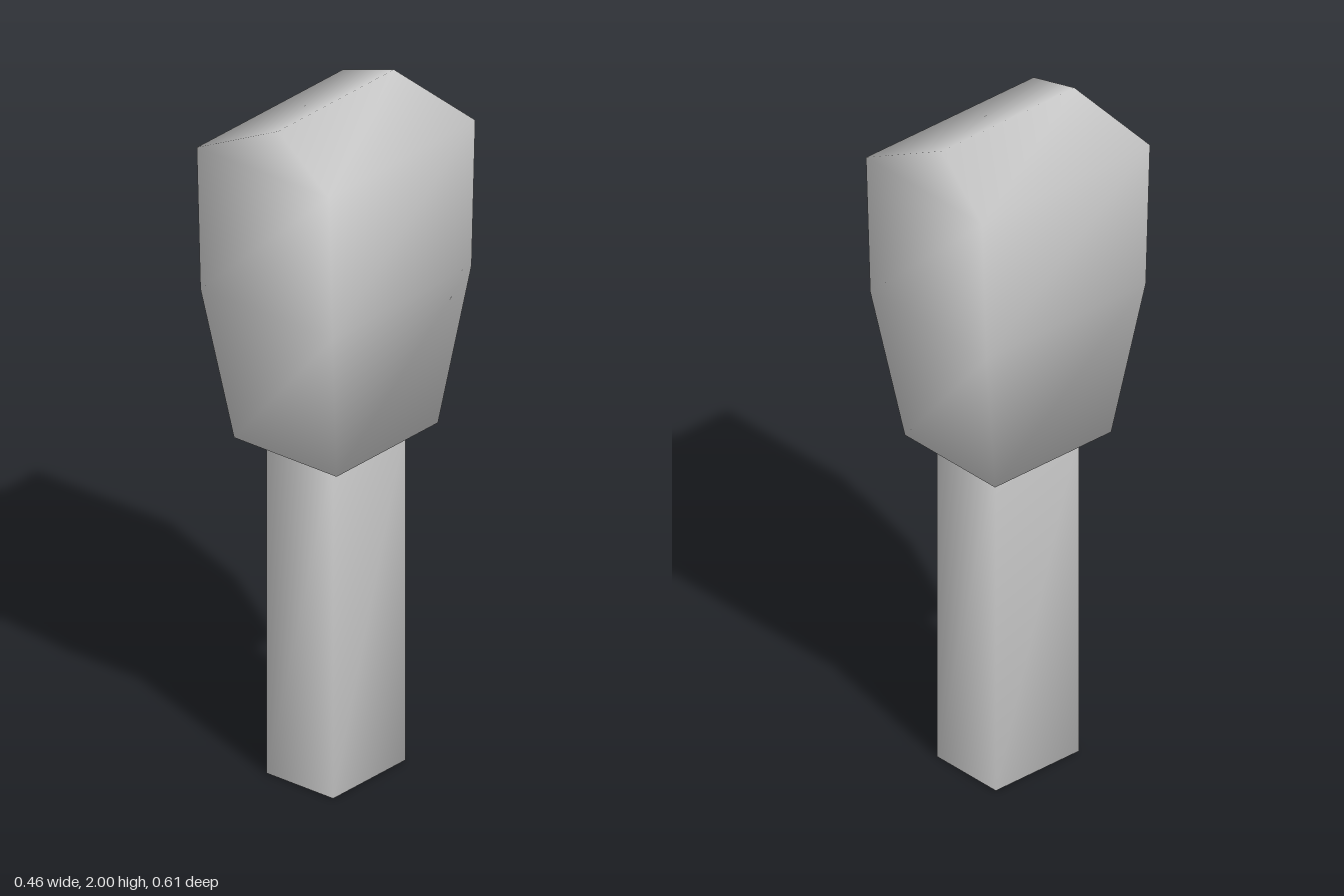
import * as THREE from 'three';
import { mergeVertices } from 'three/addons/utils/BufferGeometryUtils.js';

const material = new THREE.MeshStandardMaterial({ color: 0xcccccc });
const corners = [[1, 1], [1, -1], [-1, -1], [-1, 1]];

// Skins a stack of rectangular sections [y, halfWidth, halfDepth], softly shaded.
// A last section of zero width closes into a ridge.
function loft(name, sections) {
  const positions = [];
  const index = [];
  for (const [y, w, d] of sections) {
    for (const [sx, sz] of corners) positions.push(sx * w, y, sz * d);
  }
  const last = (sections.length - 1) * 4;
  for (let s = 0; s < last; s += 4) {
    for (let i = 0; i < 4; i++) {
      const j = (i + 1) % 4;
      index.push(s + i, s + j, s + 4 + j, s + i, s + 4 + j, s + 4 + i);
    }
  }
  // End caps
  index.push(0, 2, 1, 0, 3, 2);
  if (sections.at(-1)[1] > 0) {
    index.push(last, last + 1, last + 2, last, last + 2, last + 3);
  }
  let geometry = new THREE.BufferGeometry();
  geometry.setAttribute('position', new THREE.Float32BufferAttribute(positions, 3));
  geometry.setIndex(index);
  geometry = mergeVertices(geometry);
  geometry.computeVertexNormals();
  const mesh = new THREE.Mesh(geometry, material);
  mesh.name = name;
  return mesh;
}

export function createModel() {
  const model = new THREE.Group();
  model.name = 'post';

  // Straight rectangular shaft
  model.add(loft('shaft', [
    [0, 0.117, 0.15],
    [1.01, 0.117, 0.15],
  ]));

  // Flared head with a hipped ridge on top
  model.add(loft('head', [
    [1.01, 0.18, 0.21],
    [1.47, 0.232, 0.288],
    [1.9, 0.232, 0.303],
    [2, 0, 0.24],
  ]));

  return model;
}
